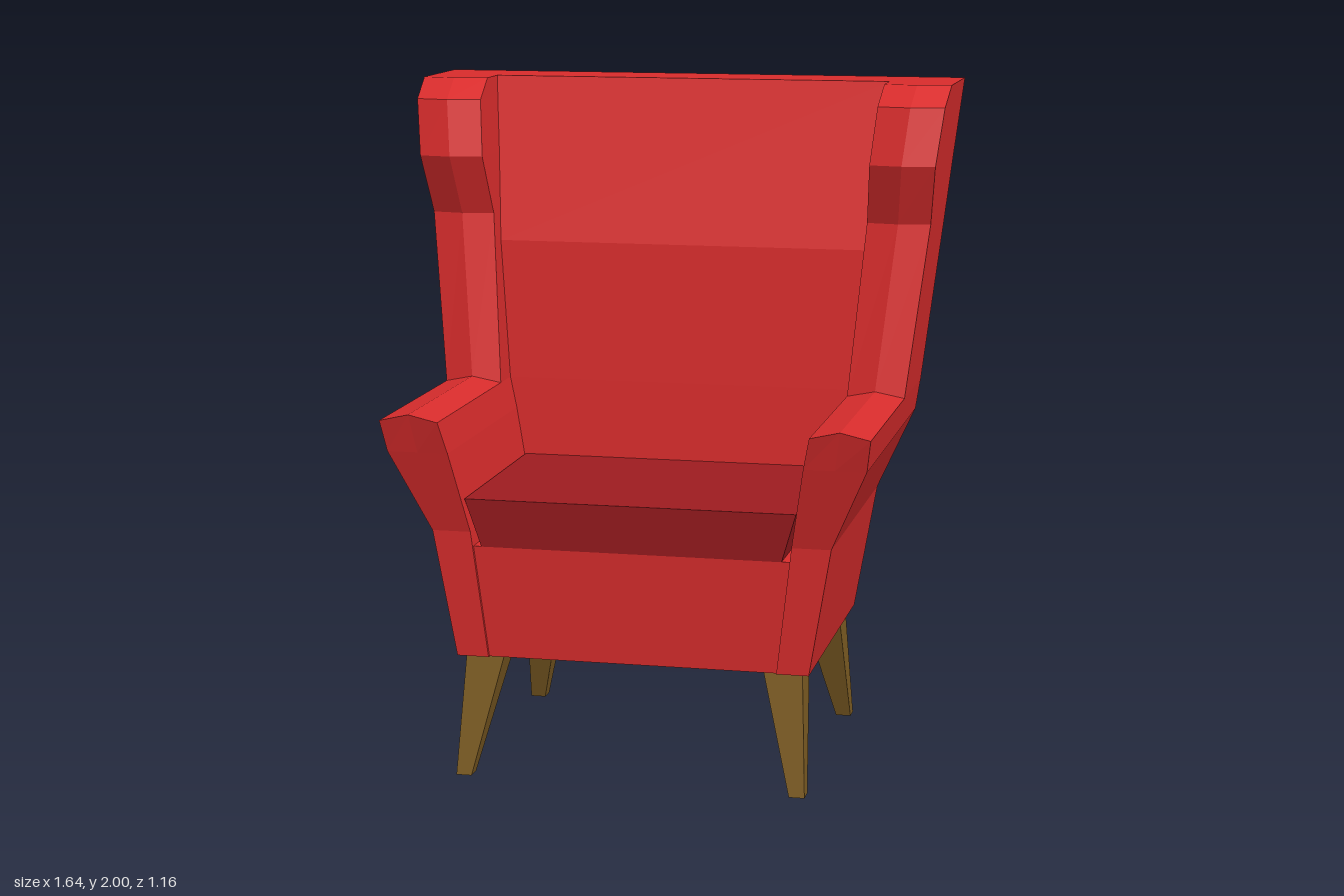
import * as THREE from 'three';

const red = new THREE.MeshStandardMaterial({ color: 0xd92c2c, flatShading: true });
const darkRed = new THREE.MeshStandardMaterial({ color: 0x9e1c20, flatShading: true });
const wood = new THREE.MeshStandardMaterial({ color: 0x7d5c23, flatShading: true });

// Skins a stack of rings (bottom to top, counterclockwise from above) and caps both ends.
function loft(name, rings, material) {
  const n = rings[0].length, index = [], last = (rings.length - 1) * n;
  for (let r = 0; r < rings.length - 1; r++) {
    for (let i = 0; i < n; i++) {
      const a = r * n + i, b = r * n + (i + 1) % n;
      index.push(a, b, b + n, a, b + n, a + n);
    }
  }
  for (let i = 1; i < n - 1; i++) {
    index.push(0, i + 1, i, last, last + i, last + i + 1);
  }
  const indexed = new THREE.BufferGeometry();
  indexed.setAttribute('position', new THREE.Float32BufferAttribute(rings.flat(2), 3));
  indexed.setIndex(index);
  const geometry = indexed.toNonIndexed();
  geometry.computeVertexNormals();
  const mesh = new THREE.Mesh(geometry, material);
  mesh.name = name;
  return mesh;
}

// Rectangular ring at one height.
const rect = (y, x0, x1, zBack, zFront) =>
  [[x0, y, zFront], [x1, y, zFront], [x1, y, zBack], [x0, y, zBack]];

// Mirrors rings across x = 0, keeping their winding.
const mirror = (rings) => rings.map((ring) => ring.map(([x, y, z]) => [-x, y, z]).reverse());

export function createModel() {
  const chair = new THREE.Group();
  chair.name = 'wingChair';

  // Arm and wing: height, inner x, outer x, back z, front z, ridge rise, ridge forward
  const side = [
    [0.355, 0.43, 0.525, -0.386, 0.46, 0, 0],
    [0.735, 0.475, 0.59, -0.407, 0.48, 0, 0],
    [0.98, 0.519, 0.70, -0.45, 0.553, 0, 0],
    [1.075, 0.54, 0.714, -0.46, 0.582, 0.02, 0],
    [1.075, 0.54, 0.714, -0.46, -0.092, 0.02, 0.016],
    [1.59, 0.581, 0.773, -0.525, -0.178, 0, 0.018],
    [1.77, 0.596, 0.793, -0.548, -0.108, 0, 0.018],
    [1.94, 0.612, 0.813, -0.57, -0.152, 0, 0.02],
    [2.0, 0.617, 0.82, -0.578, -0.25, 0, 0.02],
  ].map(([y, xi, xo, zb, zf, rise, forward]) => [
    [xi, y, zb], [xi, y, zf], [(xi + xo) / 2, y + rise, zf + forward], [xo, y, zf], [xo, y, zb],
  ]);
  chair.add(loft('leftArmAndWing', side, red));
  chair.add(loft('rightArmAndWing', mirror(side), red));

  // Backrest between the wings: height, half width, back z, front z
  const back = [
    [0.355, 0.43, -0.386, -0.17],
    [0.735, 0.475, -0.407, -0.185],
    [0.98, 0.519, -0.45, -0.198],
    [1.075, 0.54, -0.46, -0.203],
    [1.5, 0.574, -0.514, -0.23],
    [2.0, 0.617, -0.578, -0.362],
  ].map(([y, x, zb, zf]) => rect(y, -x, x, zb, zf));
  chair.add(loft('backrest', back, red));

  // Seat base and cushion
  chair.add(loft('seatBase', [
    rect(0.355, -0.43, 0.43, -0.3, 0.45),
    rect(0.69, -0.47, 0.47, -0.3, 0.467),
  ], red));
  chair.add(loft('seatCushion', [
    rect(0.69, -0.445, 0.445, -0.25, 0.47),
    rect(0.835, -0.489, 0.489, -0.25, 0.489),
  ], darkRed));

  // Splayed, tapered legs
  const legs = {
    front: [rect(0, 0.476, 0.522, 0.447, 0.497), rect(0.357, 0.388, 0.503, 0.32, 0.437)],
    rear: [rect(0, 0.476, 0.522, -0.403, -0.353), rect(0.357, 0.388, 0.503, -0.343, -0.225)],
  };
  for (const [place, rings] of Object.entries(legs)) {
    chair.add(loft(place + 'LeftLeg', rings, wood));
    chair.add(loft(place + 'RightLeg', mirror(rings), wood));
  }
  return chair;
}
